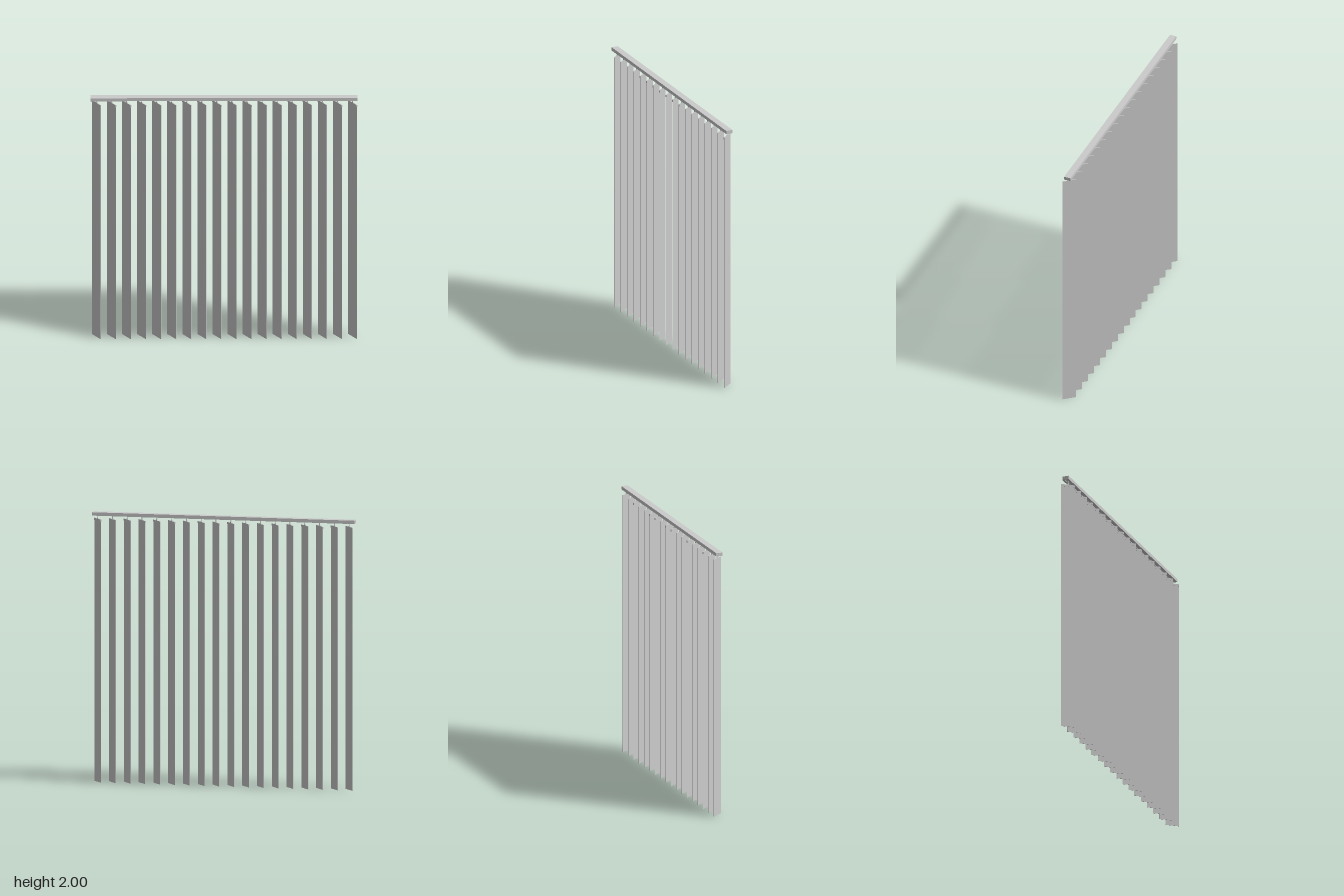
import * as THREE from 'three';

const mat = new THREE.MeshStandardMaterial({ color: 0xcccccc, side: THREE.DoubleSide });

function box(name, w, h, d, x, y, z, parent) {
  const m = new THREE.Mesh(new THREE.BoxGeometry(w, h, d), mat);
  m.name = name;
  m.position.set(x, y, z);
  parent.add(m);
  return m;
}

// Head rail: a channel with a slot along its underside
function makeRail(length) {
  const s = new THREE.Shape();
  const half = [[0.008, 1.975], [0.025, 1.975], [0.025, 2], [-0.025, 2], [-0.025, 1.975], [-0.008, 1.975],
    [-0.008, 1.978], [-0.022, 1.978], [-0.022, 1.997], [0.022, 1.997], [0.022, 1.978], [0.008, 1.978]];
  s.setFromPoints(half.map(([z, y]) => new THREE.Vector2(z, y)));
  const geo = new THREE.ExtrudeGeometry(s, { depth: length, bevelEnabled: false });
  geo.translate(0, 0, -length / 2);
  geo.rotateY(Math.PI / 2);
  const rail = new THREE.Mesh(geo, mat);
  rail.name = 'headRail';
  return rail;
}

// One hanging slat with its top holder, stem and carrier
function makeSlat(x) {
  const g = new THREE.Group();
  g.name = 'slat';
  box('vane', 0.102, 1.938, 0.003, 0, 0.969, 0, g);
  box('vaneHolder', 0.103, 0.016, 0.006, 0, 1.942, 0, g);
  const stem = new THREE.Mesh(new THREE.CylinderGeometry(0.003, 0.003, 0.04, 8), mat);
  stem.name = 'stem';
  stem.position.y = 1.966;
  g.add(stem);
  box('stemClip', 0.012, 0.006, 0.006, 0, 1.953, 0, g);
  g.rotation.y = -Math.atan2(0.08, 0.065);
  g.position.x = x;
  return g;
}

export function createModel() {
  const model = new THREE.Group();
  model.name = 'verticalBlind';
  model.add(makeRail(1.95));

  // Closed rail ends
  for (const side of [-1, 1]) box('railEnd', 0.006, 0.025, 0.05, side * 0.974, 1.9875, 0, model);

  // Row of slats and the carriers running inside the rail
  const count = 18;
  for (let i = 0; i < count; i++) {
    const x = -0.932 + i * 0.1101;
    model.add(makeSlat(x));
    box('carrier', 0.025, 0.012, 0.036, x, 1.985, 0, model);
  }
  return model;
}
